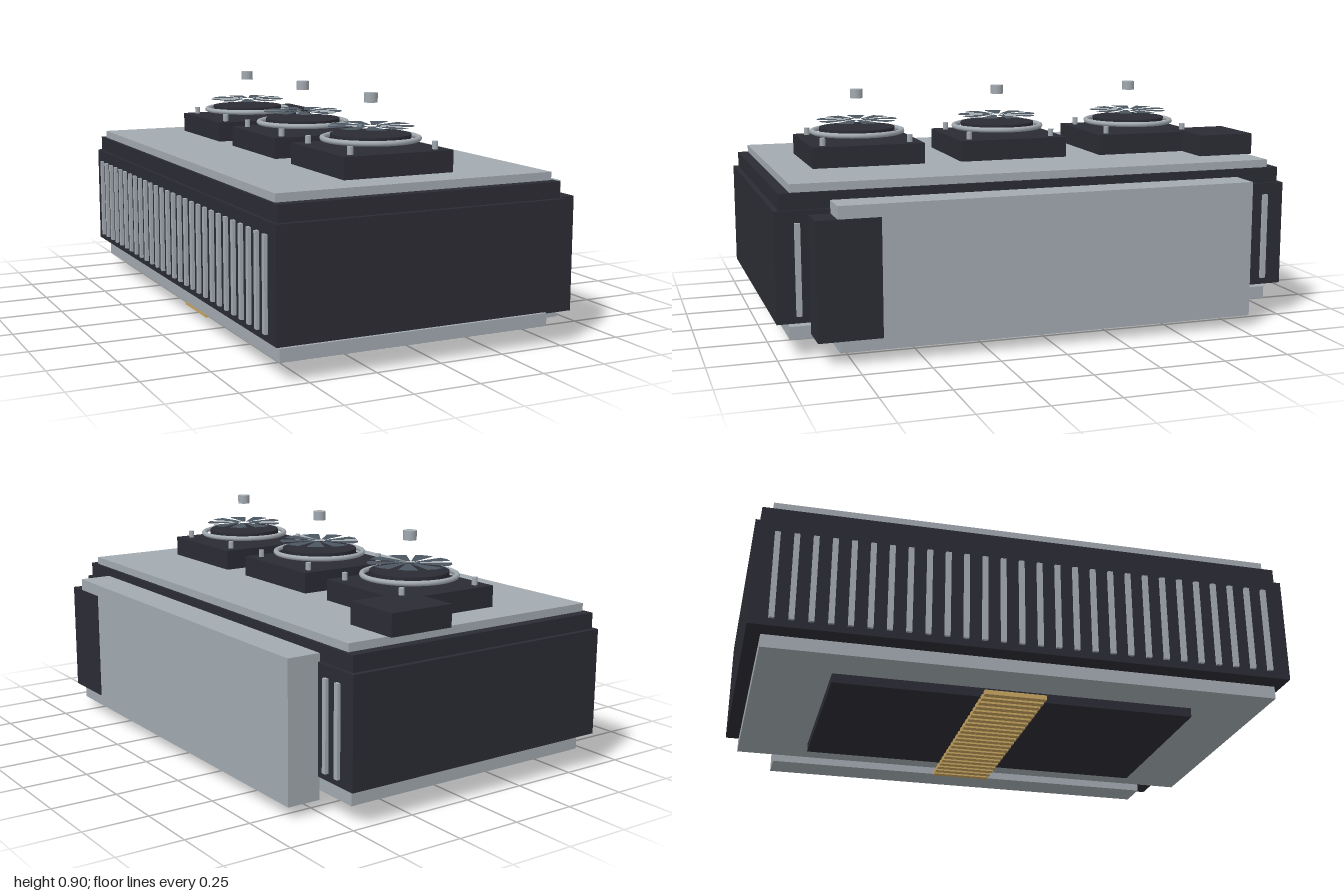
import * as THREE from 'three';

const mat = (name, color, side = THREE.FrontSide) => {
  const m = new THREE.MeshStandardMaterial({ color, side });
  m.name = name;
  return m;
};

export function createModel() {
  const silver = mat('silver', 0xa2aab0);
  const black = mat('charcoal', 0x2b2b34);
  const gold = mat('gold', 0xc8a660);
  const slate = mat('slate blade', 0x4b5660, THREE.DoubleSide);
  const root = new THREE.Group();
  root.name = 'coolerUnit';

  const add = (parent, name, geo, material, x = 0, y = 0, z = 0) => {
    const m = new THREE.Mesh(geo, material);
    m.name = name;
    m.position.set(x, y, z);
    parent.add(m);
    return m;
  };
  // box given by its min and max on each axis
  const box = (name, material, x0, x1, y0, y1, z0, z1) =>
    add(root, name, new THREE.BoxGeometry(x1 - x0, y1 - y0, z1 - z0), material,
      (x0 + x1) / 2, (y0 + y1) / 2, (z0 + z1) / 2);

  // stacked housing
  box('housing', black, -0.618, 0.505, 0.135, 0.54, -1, 1);
  box('upperHousing', black, -0.606, 0.493, 0.54, 0.6, -0.98, 0.98);
  box('topPlate', silver, -0.595, 0.482, 0.6, 0.63, -0.94, 0.94);
  box('basePlate', silver, -0.585, 0.472, 0.067, 0.115, -0.95, 0.95);
  box('underBoard', black, -0.42, 0.308, 0.032, 0.067, -0.68, 0.68);

  // side panel with its dark connector, and the block on top
  box('sidePanel', silver, 0.498, 0.627, 0.048, 0.57, -0.8, 0.8);
  box('sideConnector', black, 0.498, 0.63, 0.09, 0.523, 0.645, 0.878);
  box('topBlock', black, 0.06, 0.32, 0.63, 0.713, -0.96, -0.73);

  // pipes between housing and base plate
  for (const x of [-0.345, -0.056, 0.232]) {
    const pipe = add(root, 'heatPipe', new THREE.CylinderGeometry(0.036, 0.036, 1.6, 8), gold, x, 0.102, 0);
    pipe.geometry.rotateY(Math.PI / 8);
    pipe.rotation.x = Math.PI / 2;
  }

  // row of contact strips underneath
  for (let i = 0; i < 22; i++) {
    const x = -0.504 + i * 0.0419;
    box('contactStrip', gold, x - 0.0125, x + 0.0125, 0.003, 0.02, -0.145, 0.085);
  }

  // vent slats along both long sides
  for (let i = 0; i < 28; i++) {
    const z = -0.92 + i * (1.84 / 27);
    box('leftSlat', silver, 0.49, 0.518, 0.162, 0.496, z - 0.01, z + 0.01);
    box('rightSlat', silver, -0.63, -0.6, 0.162, 0.496, z - 0.01, z + 0.01);
  }

  // one swept, flat fan blade
  const polar = (r, deg) => new THREE.Vector2(r * Math.cos(deg * Math.PI / 180), r * Math.sin(deg * Math.PI / 180));
  const blade = new THREE.ShapeGeometry(new THREE.Shape([
    polar(0.025, -18), polar(0.155, -4), polar(0.16, 10), polar(0.155, 23), polar(0.025, 18)]));
  blade.rotateX(-Math.PI / 2);

  // three fans
  for (const z of [-0.58, 0, 0.58]) {
    const fan = new THREE.Group();
    fan.name = 'fan';
    fan.position.set(-0.057, 0, z);
    root.add(fan);
    add(fan, 'fanFrame', new THREE.BoxGeometry(0.435, 0.08, 0.435), black, 0, 0.67, 0);
    const ring = add(fan, 'fanRing', new THREE.TorusGeometry(0.176, 0.01, 8, 40), silver, 0, 0.741, 0);
    ring.rotation.x = Math.PI / 2;
    add(fan, 'fanDisc', new THREE.CylinderGeometry(0.148, 0.148, 0.022, 32), black, 0, 0.746, 0);
    add(fan, 'fanHub', new THREE.CylinderGeometry(0.025, 0.025, 0.035, 16), silver, 0, 0.887, 0);
    for (const sx of [-1, 1]) for (const sz of [-1, 1])
      add(fan, 'fanPost', new THREE.CylinderGeometry(0.011, 0.011, 0.03, 10), silver, sx * 0.17, 0.724, sz * 0.17);
    for (let i = 0; i < 9; i++)
      add(fan, 'fanBlade', blade, slate, 0, 0.785, 0).rotation.y = i * Math.PI * 2 / 9;
  }
  return root;
}
